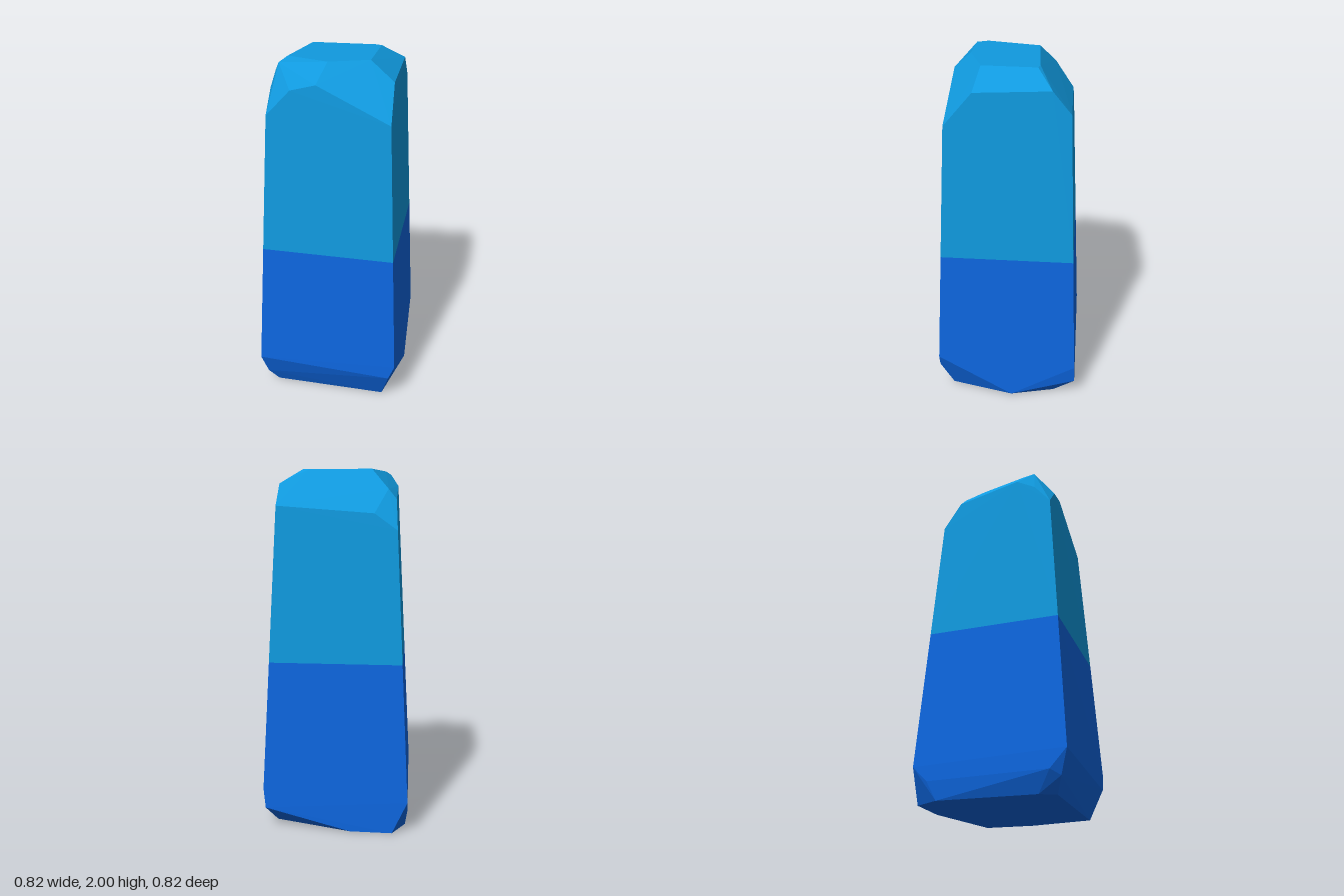
import * as THREE from 'three';
import { ConvexGeometry } from 'three/addons/geometries/ConvexGeometry.js';

const SPLIT = 0.95; // height where the two colours meet

// Lower and upper ends of the four long corner edges, in matching order
const lowEnds = [[0.4, 0.26, 0.41], [-0.41, 0.21, 0.41], [-0.41, 0.18, -0.41], [0.4, 0.23, -0.4]];
const highEnds = [[0.325, 1.72, 0.333], [-0.33, 1.73, 0.333], [-0.335, 1.67, -0.33], [0.32, 1.8, -0.325]];

// Cut corners of the crown and its top plane
const crown = [
  [-0.2, 1.87, 0.327], [-0.065, 1.905, 0.323],
  [0.315, 1.9, 0.18], [0.315, 1.92, -0.225],
  [-0.21, 1.76, -0.325], [-0.28, 1.89, -0.22],
  [-0.325, 1.835, -0.233], [-0.325, 1.915, 0.13], [-0.325, 1.85, 0.24], [-0.28, 1.983, 0.225],
  [-0.185, 2, -0.135], [0.16, 2, -0.155], [0.195, 2, -0.145],
  [0.185, 2, 0.148], [-0.025, 2, 0.225], [-0.25, 2, 0.157],
];

// Cut corners of the foot and its ground plane
const foot = [
  [0.365, 0.175, 0.412], [-0.38, 0.08, 0.37],
  [-0.41, 0.11, 0.32], [-0.41, 0.1, -0.33], [0.388, 0.12, -0.405],
  [0.32, 0, 0.34], [-0.325, 0, 0.335], [-0.367, 0, 0.25], [-0.397, 0, -0.28],
  [-0.325, 0, -0.413], [-0.09, 0, -0.41], [0.34, 0, -0.28], [0.412, 0.01, -0.025],
];

const toVectors = (list) => list.map((p) => new THREE.Vector3(...p));

// Convex hull without the hidden cap at the colour split
function openHull(points) {
  const hull = new ConvexGeometry(points);
  const p = hull.attributes.position;
  const kept = [];
  for (let i = 0; i < p.count; i += 3) {
    const isCap = [0, 1, 2].every((k) => Math.abs(p.getY(i + k) - SPLIT) < 1e-4);
    if (isCap) continue;
    for (let k = 0; k < 3; k++) kept.push(p.getX(i + k), p.getY(i + k), p.getZ(i + k));
  }
  const geometry = new THREE.BufferGeometry();
  geometry.setAttribute('position', new THREE.Float32BufferAttribute(kept, 3));
  geometry.computeVertexNormals();
  return geometry;
}

export function createModel() {
  const group = new THREE.Group();
  group.name = 'crystal';

  const low = toVectors(lowEnds);
  const high = toVectors(highEnds);
  // Ring of corners shared by both halves
  const ring = low.map((a, i) => {
    const b = high[i];
    const v = a.clone().lerp(b, (SPLIT - a.y) / (b.y - a.y));
    v.y = SPLIT;
    return v;
  });

  const addHalf = (name, points, colorName, color) => {
    const material = new THREE.MeshStandardMaterial({ color });
    material.name = colorName;
    const mesh = new THREE.Mesh(openHull(points), material);
    mesh.name = name;
    group.add(mesh);
  };

  addHalf('upperCrystal', [...ring, ...high, ...toVectors(crown)], 'skyBlue', 0x109adf);
  addHalf('lowerCrystal', [...ring, ...low, ...toVectors(foot)], 'deepBlue', 0x0d66df);
  return group;
}
